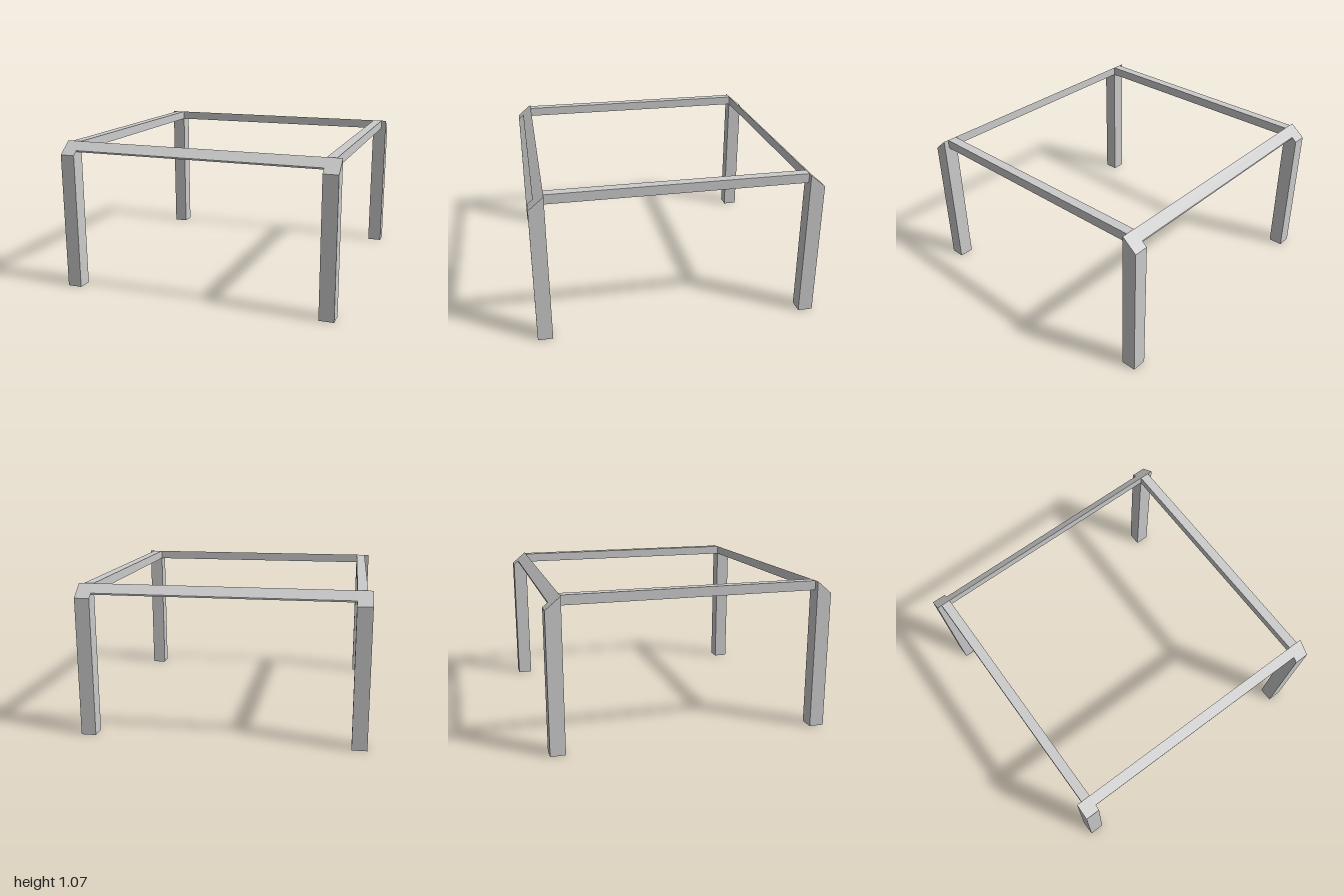
import * as THREE from 'three';

const OUT = 1, IN = 0.895, RAIL = 0.963;      // outer face, inner face, outer face of rails
const TOP = 1.07, SHOULDER = 0.983, UNDER = 1.003;

// Height of the bevelled top at depth z: full height inside, falling outwards
const bevel = (z) => TOP - ((z - IN) * (TOP - SHOULDER)) / (OUT - IN);

// Box between two corners; its top can follow the bevel
function block(x0, x1, y0, y1, z0, z1, bevelled) {
  const geo = new THREE.BoxGeometry(x1 - x0, y1 - y0, z1 - z0);
  geo.translate((x0 + x1) / 2, (y0 + y1) / 2, (z0 + z1) / 2);
  if (bevelled) {
    const p = geo.attributes.position;
    for (let i = 0; i < p.count; i++) {
      if (p.getY(i) > y1 - 0.001) p.setY(i, bevel(p.getZ(i)));
    }
    geo.computeVertexNormals();
  }
  return geo;
}

// Removes the underside of a box so the tube is open
function openBottom(geo) {
  const idx = Array.from(geo.index.array);
  idx.splice(18, 6);
  geo.setIndex(idx);
  geo.clearGroups();
  return geo;
}

export function createModel() {
  const model = new THREE.Group();
  model.name = 'tableFrame';
  const mat = new THREE.MeshStandardMaterial({ color: 0xcccccc, side: THREE.DoubleSide });

  const add = (parent, name, geo) => {
    const mesh = new THREE.Mesh(geo, mat);
    mesh.name = name;
    parent.add(mesh);
  };

  // Two identical ends, the back one turned half way round
  for (const end of ['front', 'back']) {
    const half = new THREE.Group();
    half.name = end + 'Frame';
    const s = end === 'front' ? 1 : -1;

    // Hollow legs with a bevelled head
    add(half, end + (s > 0 ? 'Left' : 'Right') + 'Leg', openBottom(block(IN, OUT, 0, TOP, IN, OUT, true)));
    add(half, end + (s > 0 ? 'Right' : 'Left') + 'Leg', openBottom(block(-OUT, -IN, 0, TOP, IN, OUT, true)));

    // Cross rail with the same sloping outer face
    add(half, end + 'Rail', block(-IN, IN, UNDER, TOP, IN, RAIL, true));

    // Square side rail
    add(half, (s > 0 ? 'left' : 'right') + 'Rail', block(IN, RAIL, UNDER, TOP, -IN, IN, false));

    if (s < 0) half.rotation.y = Math.PI;
    model.add(half);
  }
  return model;
}
